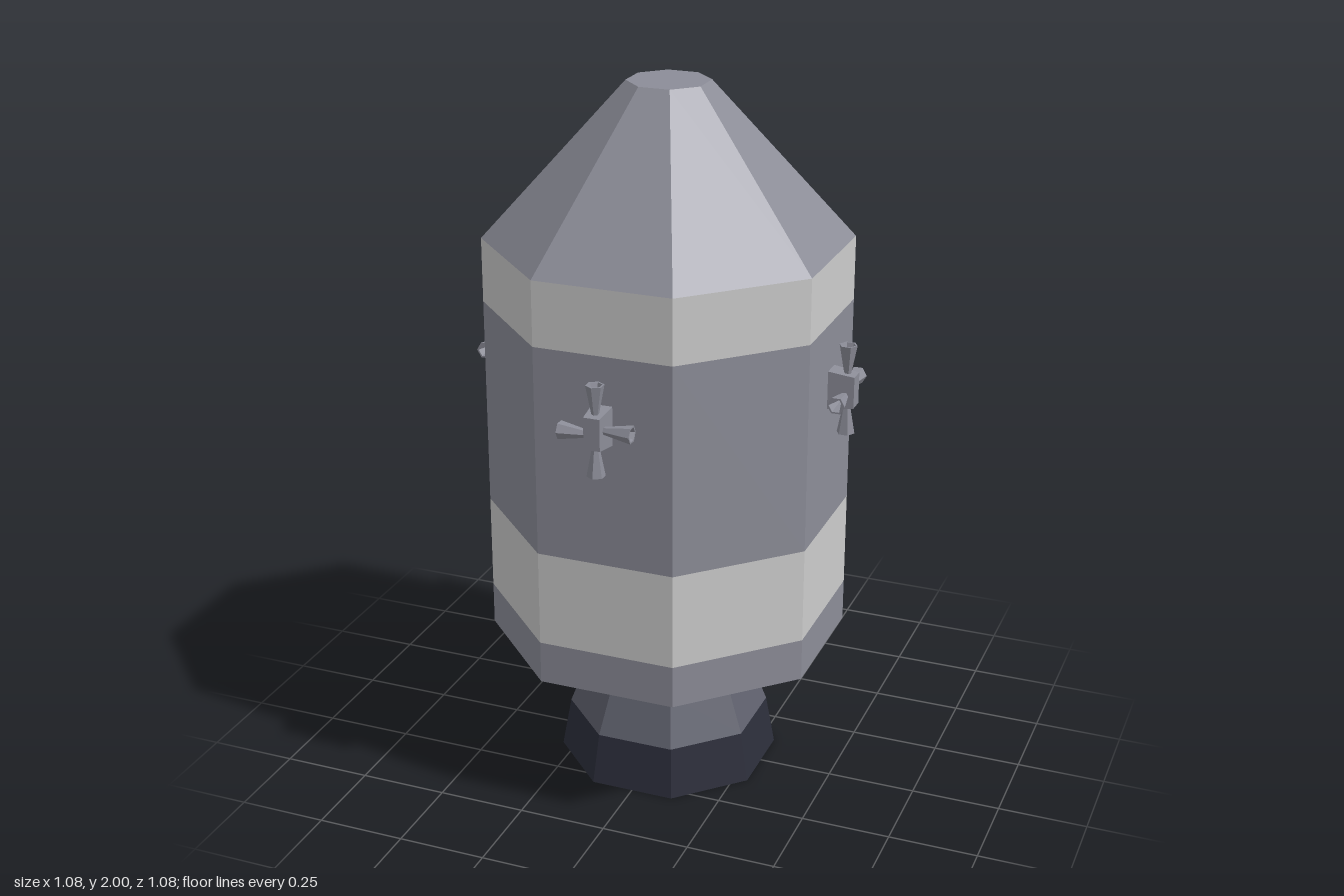
import * as THREE from 'three';

const mat = (color) => new THREE.MeshStandardMaterial({ color, flatShading: true });
const hull = mat(0x8c8d98);
const light = mat(0xcccccc);
const bell = mat(0x5f616d);
const dark = mat(0x2c2e3b);

// Eight-sided turned part; radii are measured to the flats, which face the axes
function octagon(name, profile, material) {
  const k = 1 / Math.cos(Math.PI / 8);
  const points = profile.map(([r, y]) => new THREE.Vector2(r * k, y));
  const mesh = new THREE.Mesh(new THREE.LatheGeometry(points, 8, Math.PI / 8), material);
  mesh.name = name;
  return mesh;
}

// Four small nozzles around a tapered block, facing +z
function thrusterQuad() {
  const quad = new THREE.Group();
  const blockGeo = new THREE.CylinderGeometry(0.032, 0.04, 0.08, 4);
  blockGeo.rotateY(Math.PI / 4).rotateX(Math.PI / 2).scale(1, 1.95, 1);
  const block = new THREE.Mesh(blockGeo, hull);
  block.name = 'thrusterBlock';
  block.position.set(0, 1.203, 0.499);
  quad.add(block);

  const cone = new THREE.LatheGeometry(
    [[0, 0], [0.009, 0], [0.025, 0.085], [0.02, 0.085], [0, 0.03]].map(([r, y]) => new THREE.Vector2(r, y)), 6);
  // [x, y, turn about z]; the side nozzles are slightly staggered
  const places = [
    [0, 1.245, 0], [0, 1.163, Math.PI],
    [0.016, 1.208, -Math.PI / 2], [-0.016, 1.192, Math.PI / 2],
  ];
  for (const [x, y, turn] of places) {
    const nozzle = new THREE.Mesh(cone, hull);
    nozzle.name = 'thrusterNozzle';
    nozzle.position.set(x, y, 0.513);
    nozzle.rotation.z = turn;
    quad.add(nozzle);
  }
  return quad;
}

export function createModel() {
  const model = new THREE.Group();
  model.name = 'spacecraft';
  const R = 0.467;

  // Hull, from bottom to top
  model.add(
    octagon('hullBase', [[0, 0.41], [R, 0.41], [R, 0.53]], hull),
    octagon('lowerBand', [[R, 0.53], [R, 0.8]], light),
    octagon('hullMiddle', [[R, 0.8], [R, 1.39]], hull),
    octagon('upperBand', [[R, 1.39], [R, 1.57]], light),
    octagon('noseCone', [[R, 1.57], [0.105, 2], [0, 2]], hull),
  );

  // Main engine bell with a dark lip and a hollow inside
  model.add(
    octagon('engineBell', [[0.266, 0.145], [0.215, 0.285], [0.13, 0.41]], bell),
    octagon('engineLip', [[0.247, 0], [0.29, 0], [0.266, 0.145]], dark),
    octagon('engineInside', [[0, 0.39], [0.11, 0.39], [0.18, 0.285], [0.225, 0.145], [0.247, 0]], bell),
  );

  // Thruster quads on the four sides
  for (let i = 0; i < 4; i++) {
    const quad = thrusterQuad();
    quad.name = 'thrusterQuad';
    quad.rotation.y = i * Math.PI / 2;
    model.add(quad);
  }
  return model;
}
